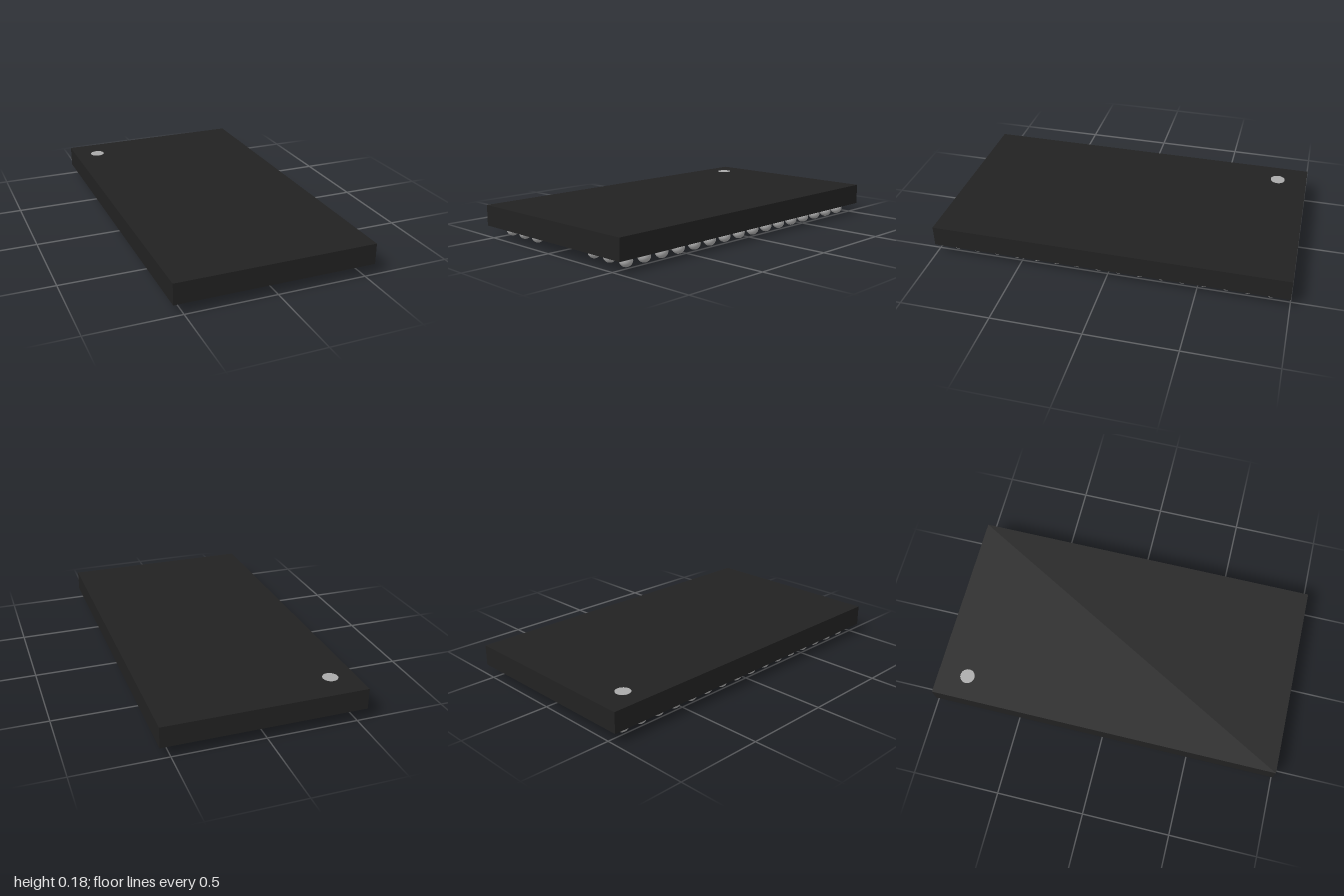
import * as THREE from 'three';

const PITCH = 0.1187;      // spacing of the solder grid
const BALL_RADIUS = 0.035;
const BODY = { width: 1.11, height: 0.117, length: 2, bottom: 0.061 };

export function createModel() {
  const model = new THREE.Group();
  model.name = 'memoryChip';

  const blackResin = new THREE.MeshStandardMaterial({ color: 0x222222 });
  blackResin.name = 'blackResin';
  const solder = new THREE.MeshStandardMaterial({ color: 0xb0b0b0 });
  solder.name = 'solder';
  const markerGrey = new THREE.MeshStandardMaterial({ color: 0xaaaaaa });
  markerGrey.name = 'markerGrey';

  // Flat package body
  const body = new THREE.Mesh(new THREE.BoxGeometry(BODY.width, BODY.height, BODY.length), blackResin);
  body.name = 'body';
  body.position.y = BODY.bottom + BODY.height / 2;
  model.add(body);

  // Orientation dot at the back corner of the top face
  const dot = new THREE.Mesh(new THREE.CylinderGeometry(0.042, 0.042, 0.004, 24), markerGrey);
  dot.name = 'orientationDot';
  dot.position.set(-0.418, BODY.bottom + BODY.height, -0.829);
  model.add(dot);

  // Two banks of solder balls: three columns of sixteen on each side
  const ballGeometry = new THREE.SphereGeometry(BALL_RADIUS, 24, 16);
  for (const side of [-1, 1]) {
    const bank = new THREE.Group();
    bank.name = side < 0 ? 'rightBallBank' : 'leftBallBank';
    for (let column = 2; column <= 4; column++) {
      for (let row = 0; row < 16; row++) {
        const ball = new THREE.Mesh(ballGeometry, solder);
        ball.name = 'solderBall';
        ball.position.set(side * column * PITCH, BALL_RADIUS, (row - 7.5) * PITCH);
        bank.add(ball);
      }
    }
    model.add(bank);
  }

  return model;
}
